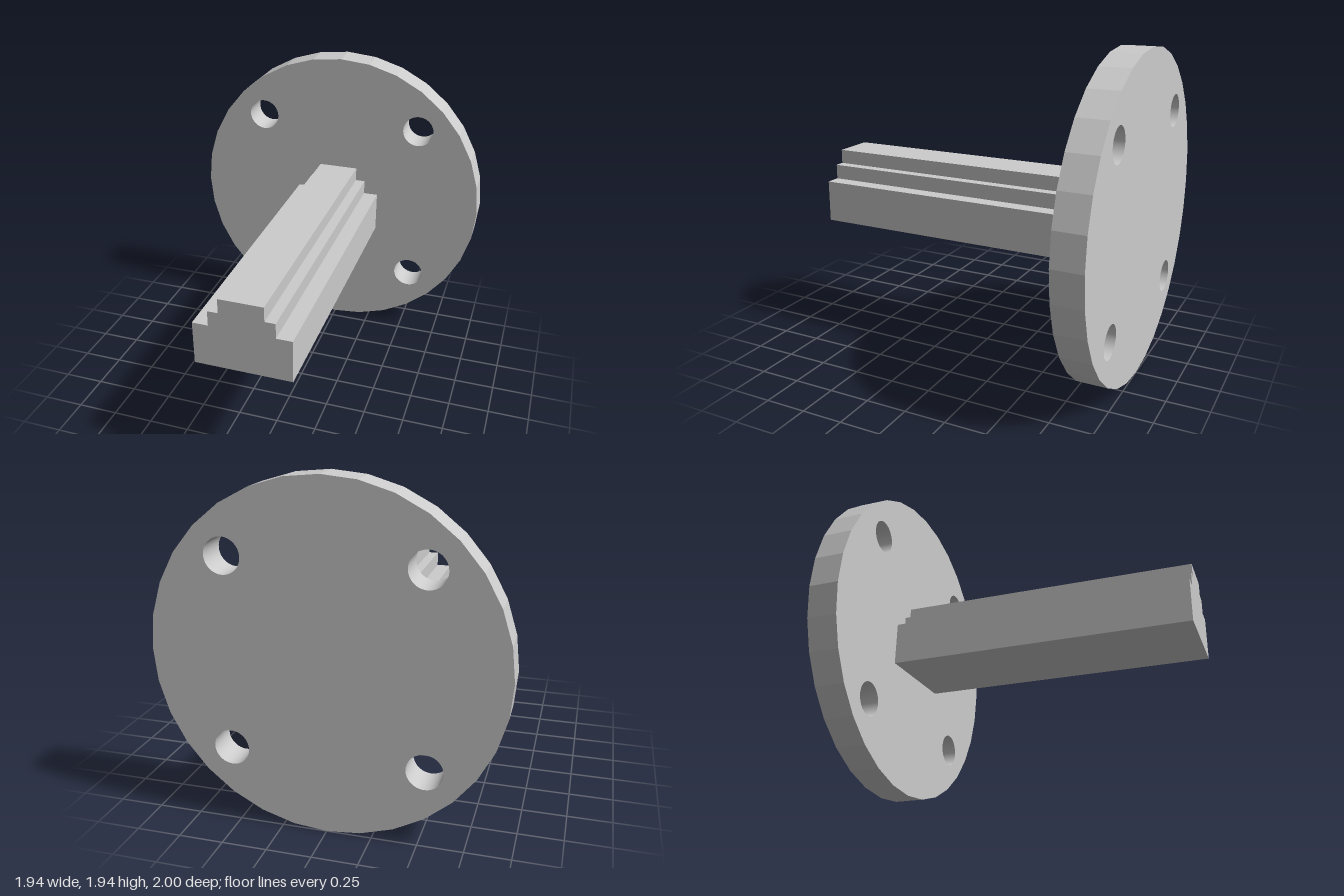
import * as THREE from 'three';
import { toCreasedNormals } from 'three/addons/utils/BufferGeometryUtils.js';

const RADIUS = 0.968;       // flange radius, also its centre height
const BACK = -1, FACE = -0.818, FRONT = 1;

// Extrude a shape between two z planes
function slab(name, shape, z0, z1) {
  const extruded = new THREE.ExtrudeGeometry(shape, {
    depth: z1 - z0, bevelEnabled: false, curveSegments: 32,
  });
  extruded.translate(0, 0, z0);
  // smooth bolt holes, faceted rim
  const geometry = toCreasedNormals(extruded, THREE.MathUtils.degToRad(8));
  const mesh = new THREE.Mesh(geometry, new THREE.MeshStandardMaterial({ color: 0xcccccc }));
  mesh.name = name;
  return mesh;
}

// Round 32-sided plate with four bolt holes
function createFlange() {
  const sides = 32;
  const rim = Array.from({ length: sides }, (_, i) => {
    const a = (i / sides) * Math.PI * 2;
    return new THREE.Vector2(RADIUS * Math.cos(a), RADIUS + RADIUS * Math.sin(a));
  });
  const shape = new THREE.Shape(rim);
  for (const sx of [-1, 1]) {
    for (const sy of [-1, 1]) {
      const hole = new THREE.Path();
      hole.absarc(sx * 0.535, RADIUS + sy * 0.535, 0.1, 0, Math.PI * 2, true);
      shape.holes.push(hole);
    }
  }
  return slab('flange', shape, BACK, FACE);
}

// Long bar whose upper edges step inward twice
function createSteppedBar() {
  const half = [
    [0.281, 0.752], [0.281, 1.01], [0.189, 1.01],
    [0.189, 1.1], [0.128, 1.1], [0.128, 1.187],
  ];
  const mirrored = half.map(([x, y]) => [-x, y]).reverse();
  const shape = new THREE.Shape([...half, ...mirrored].map(([x, y]) => new THREE.Vector2(x, y)));
  return slab('steppedBar', shape, FACE, FRONT);
}

export function createModel() {
  const model = new THREE.Group();
  model.name = 'flangedBar';
  model.add(createFlange(), createSteppedBar());
  return model;
}
